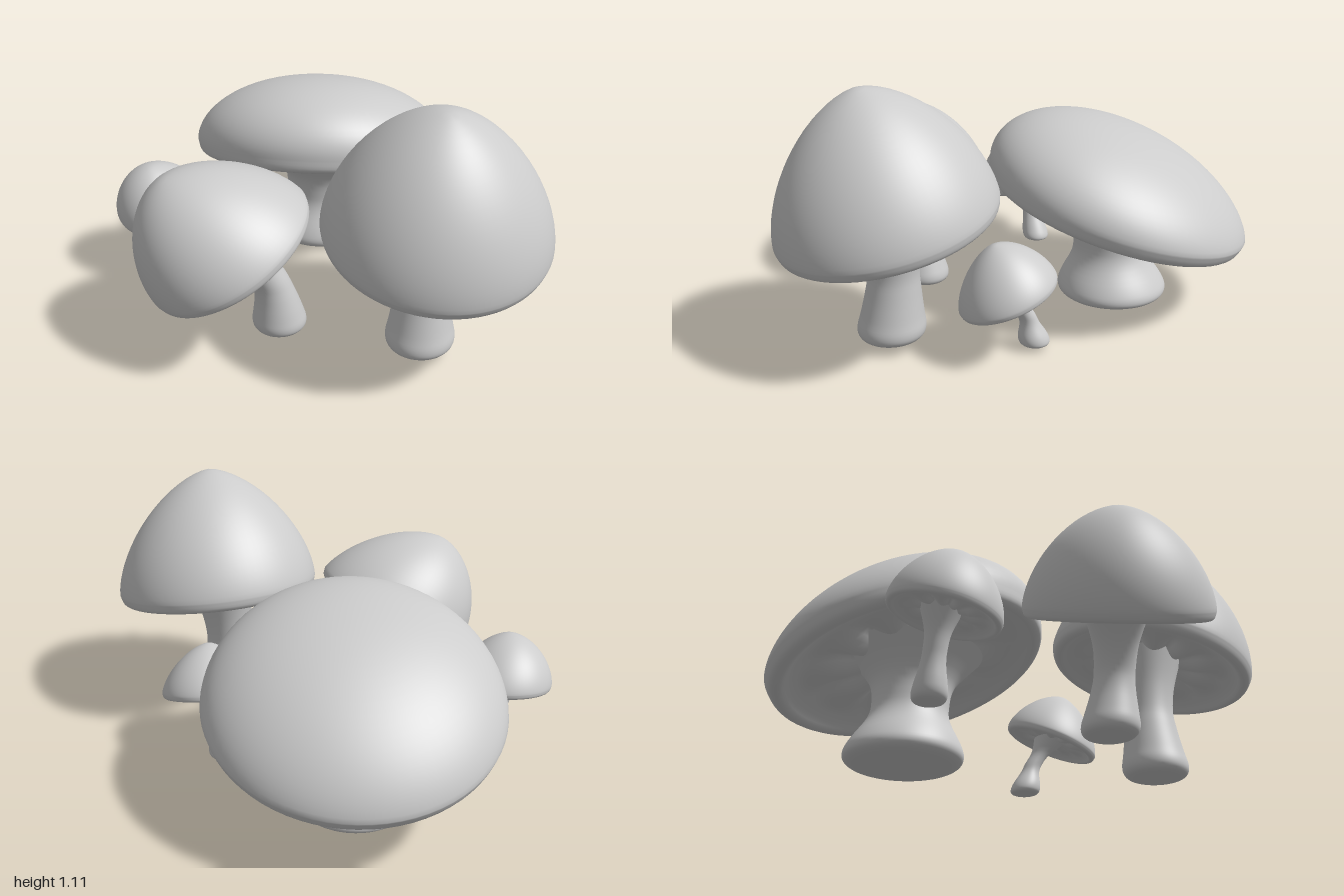
import * as THREE from 'three';
import { mergeVertices } from 'three/addons/utils/BufferGeometryUtils.js';

const SEGMENTS = 72;
const material = new THREE.MeshStandardMaterial({ color: 0xcccccc, side: THREE.DoubleSide });

// Lathe a profile, move each vertex by a rule, then weld the seam for smooth normals
function shapedLathe(points, rule) {
  const geo = new THREE.LatheGeometry(points, SEGMENTS);
  const pos = geo.attributes.position;
  const v = new THREE.Vector3();
  for (let i = 0; i < pos.count; i++) {
    v.fromBufferAttribute(pos, i);
    rule(v, i % points.length);
    pos.setXYZ(i, v.x, v.y, v.z);
  }
  geo.deleteAttribute('uv');
  geo.deleteAttribute('normal');
  const welded = mergeVertices(geo, 1e-5);
  welded.computeVertexNormals();
  return welded;
}

// Cap: shallow underside with lobed gills, rolled rim and a dome whose peak may sit off-centre
function makeCap({ radius, height, bend, center, up, peak }) {
  const under = new THREE.SplineCurve([
    [0, 0], [0.3, 0], [0.55, 0], [0.72, -0.01],
    [0.83, -0.055], [0.91, -0.105], [0.975, -0.08], [1, 0],
  ].map(([x, y]) => new THREE.Vector2(x * radius, y * radius))).getPoints(28);
  const dome = [];
  const steps = 20;
  for (let i = 1; i <= steps; i++) {
    const r = i === steps ? 0 : Math.cos((i / steps) * Math.PI / 2);
    dome.push(new THREE.Vector2(r * radius, height * (1 - r ** bend[0]) ** bend[1]));
  }
  const geo = shapedLathe([...under, ...dome], (v, j) => {
    if (j >= under.length) {
      v.x += peak[0] * v.y / height;
      v.z += peak[1] * v.y / height;
      return;
    }
    const r = Math.hypot(v.x, v.z) / radius;
    const weight = Math.max(0, 1 - Math.abs(r - 0.46) / 0.3);
    const lobe = Math.abs(Math.sin(Math.atan2(v.z, v.x) * 4.5));
    v.y += radius * weight * (0.08 - 0.12 * lobe);
  });
  const cap = new THREE.Mesh(geo, material);
  cap.name = 'cap';
  cap.position.set(...center);
  cap.quaternion.setFromUnitVectors(new THREE.Vector3(0, 1, 0), new THREE.Vector3(...up).normalize());
  return cap;
}

// Stem: swollen foot, narrow waist and flared top, following a bent centre line
function makeStem({ path, radii }) {
  const [foot, waist, top] = radii;
  const line = new THREE.CatmullRomCurve3(path.map((p) => new THREE.Vector3(...p)));
  const base = path[0][1];
  const rise = path[path.length - 1][1] - base;
  const profile = new THREE.SplineCurve([
    [0, 0], [foot * 0.7, 0.012], [foot * 0.94, 0.04], [foot, 0.1], [foot * 0.92, 0.2],
    [waist * 1.08, 0.38], [waist, 0.53], [waist * 1.14, 0.74], [top, 1],
  ].map(([x, y]) => new THREE.Vector2(x, y))).getPoints(32);
  const geo = shapedLathe(profile, (v) => {
    const t = THREE.MathUtils.clamp(v.y, 0, 1);
    const c = line.getPoint(t);
    v.set(v.x + c.x, base + rise * t, v.z + c.z);
  });
  const stem = new THREE.Mesh(geo, material);
  stem.name = 'stem';
  return stem;
}

const mushrooms = [
  {
    name: 'broadMushroom',
    cap: { radius: 0.592, height: 0.315, bend: [2.1, 0.57], center: [-0.385, 0.482, -0.376], up: [-0.14, 1, -0.26], peak: [0.05, 0.1] },
    stem: { path: [[-0.39, 0, -0.365], [-0.38, 0.25, -0.345], [-0.37, 0.5, -0.35]], radii: [0.245, 0.16, 0.29] },
  },
  {
    name: 'tallMushroom',
    cap: { radius: 0.453, height: 0.525, bend: [1.55, 0.62], center: [0.555, 0.59, 0.205], up: [0.17, 1, 0.13], peak: [-0.02, 0] },
    stem: { path: [[0.515, 0.03, 0.235], [0.51, 0.32, 0.215], [0.53, 0.62, 0.2]], radii: [0.142, 0.105, 0.16] },
  },
  {
    name: 'leaningMushroom',
    cap: { radius: 0.365, height: 0.385, bend: [1.75, 0.64], center: [-0.168, 0.465, 0.597], up: [-0.4, 1, 0.4], peak: [-0.05, 0.03] },
    stem: { path: [[-0.045, 0.02, 0.435], [-0.055, 0.25, 0.475], [-0.16, 0.5, 0.585]], radii: [0.113, 0.08, 0.14] },
  },
  {
    name: 'smallFrontMushroom',
    cap: { radius: 0.21, height: 0.22, bend: [1.7, 0.62], center: [-0.788, 0.32, 0.318], up: [0.1, 1, 0.2], peak: [-0.02, 0.02] },
    stem: { path: [[-0.755, 0.015, 0.215], [-0.78, 0.17, 0.265], [-0.79, 0.34, 0.31]], radii: [0.064, 0.043, 0.08] },
  },
  {
    name: 'smallBackMushroom',
    cap: { radius: 0.21, height: 0.215, bend: [1.55, 0.68], center: [0.353, 0.272, -0.225], up: [0.2, 1, 0.33], peak: [-0.01, -0.02] },
    stem: { path: [[0.252, 0.015, -0.3], [0.28, 0.13, -0.275], [0.35, 0.28, -0.22]], radii: [0.064, 0.038, 0.08] },
  },
];

export function createModel() {
  const model = new THREE.Group();
  model.name = 'mushroomCluster';
  for (const { name, cap, stem } of mushrooms) {
    const group = new THREE.Group();
    group.name = name;
    group.add(makeCap(cap), makeStem(stem));
    model.add(group);
  }
  return model;
}
